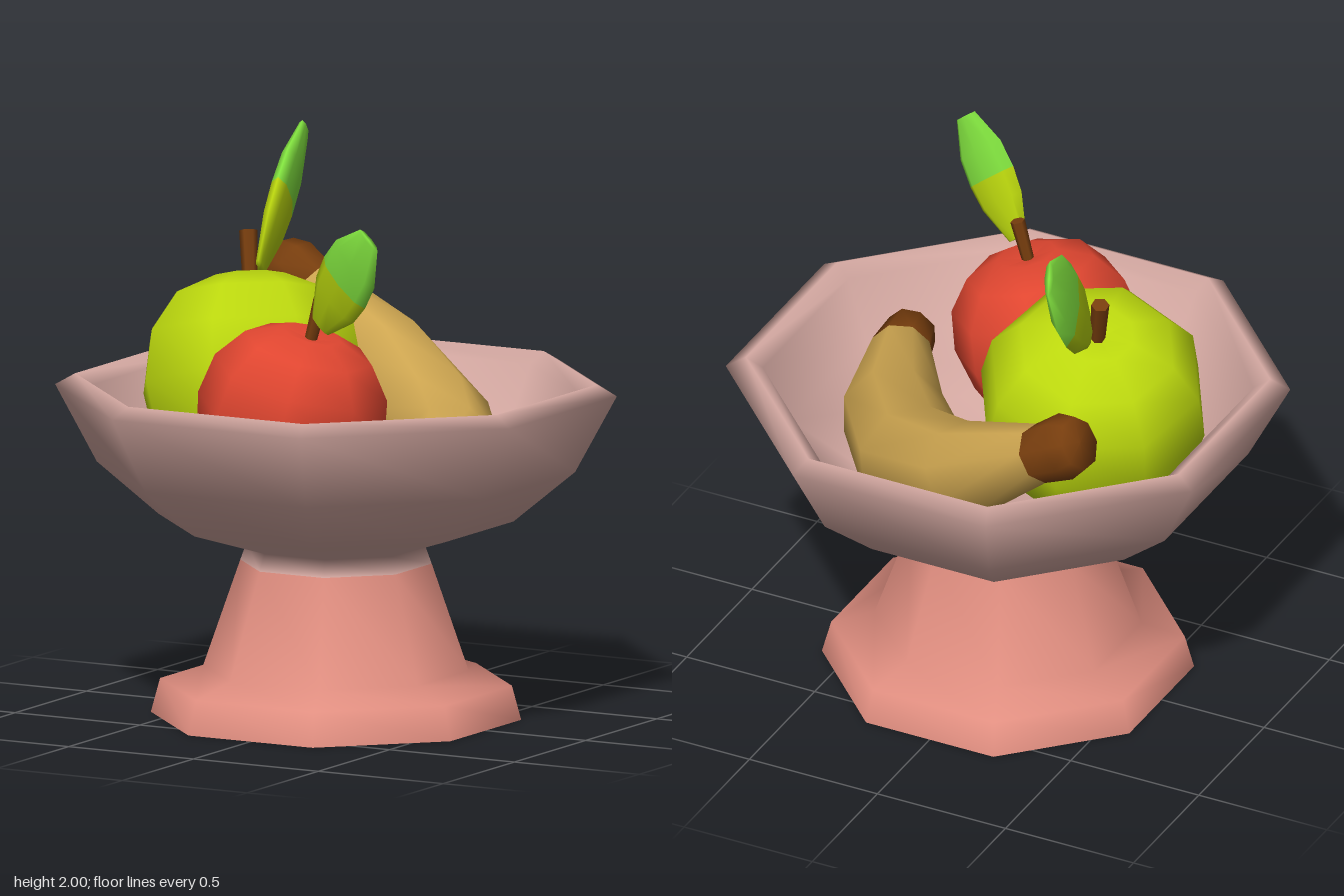
import * as THREE from 'three';

const mat = (name, color, side = THREE.FrontSide) => {
  const m = new THREE.MeshStandardMaterial({ color, side });
  m.name = name;
  return m;
};
const V = (x, y, z) => new THREE.Vector3(x, y, z);

// Eight-sided smooth turned form
function turned(profile, phi = 0) {
  return new THREE.LatheGeometry(profile.map(([r, y]) => new THREE.Vector2(r, y)), 8, phi);
}

// Smooth eight-sided loft through centres [x, y, z, radius]; a zero radius closes an end
function loft(stations, from, to) {
  const sides = 8, pos = [], idx = [];
  const pts = stations.map(s => V(s[0], s[1], s[2]));
  for (let i = from; i <= to; i++) {
    const t = pts[Math.min(i + 1, pts.length - 1)].clone().sub(pts[Math.max(i - 1, 0)]).normalize();
    const n = V(0, 1, 0).addScaledVector(t, -t.y).normalize();
    const b = t.clone().cross(n);
    for (let j = 0; j < sides; j++) {
      const a = (j + 0.5) / sides * Math.PI * 2;
      const p = pts[i].clone()
        .addScaledVector(n, Math.cos(a) * stations[i][3])
        .addScaledVector(b, Math.sin(a) * stations[i][3]);
      pos.push(p.x, p.y, p.z);
    }
  }
  for (let i = 0; i < to - from; i++) {
    for (let j = 0; j < sides; j++) {
      const k = (j + 1) % sides;
      const a = i * sides + j, b = i * sides + k, c = a + sides, d = b + sides;
      idx.push(a, b, c, b, d, c);
    }
  }
  const g = new THREE.BufferGeometry();
  g.setAttribute('position', new THREE.Float32BufferAttribute(pos, 3));
  g.setIndex(idx);
  g.computeVertexNormals();
  return g;
}

export function createModel() {
  const root = new THREE.Group();
  root.name = 'fruitBowl';
  const bowlMat = mat('palePink', 0xd6aaa3);
  const baseMat = mat('coralPink', 0xe08e80);
  const limeMat = mat('limeGreen', 0xbcd80e);
  const redMat = mat('appleRed', 0xe04630);
  const leafMat = mat('leafGreen', 0x80e03e);
  const bananaMat = mat('bananaYellow', 0xcda550, THREE.DoubleSide);
  const brownMat = mat('stemBrown', 0x783e0e, THREE.DoubleSide);

  const add = (parent, name, geo, material) => {
    const m = new THREE.Mesh(geo, material);
    m.name = name;
    parent.add(m);
    return m;
  };

  // Octagonal pedestal and bowl, radii measured to the flat sides
  const flat = 1 / Math.cos(Math.PI / 8);
  const octagon = p => turned(p.map(([r, y]) => [r * flat, y]), Math.PI / 8);
  add(root, 'pedestalUnderside', octagon([[0, 0], [0.6, 0]]), baseMat);
  add(root, 'pedestal', octagon([[0.6, 0], [0.57, 0.12], [0.43, 0.17], [0.31, 0.545]]), baseMat);
  add(root, 'bowl', octagon([
    [0.31, 0.545], [0.29, 0.605], [0.575, 0.7], [0.775, 0.88], [0.91, 1.15], [0.845, 1.19],
    [0.79, 1.15], [0.7, 0.94], [0.5, 0.78], [0, 0.7],
  ]), bowlMat);

  // Leaf: flattened lathe in two colours, aligned from base to tip
  function leaf(parent, base, tip, across, size) {
    const g = new THREE.Group();
    g.name = 'leaf';
    const y = tip.clone().sub(base), len = y.length();
    y.normalize();
    const x = across.clone().addScaledVector(y, -across.dot(y)).normalize();
    const z = x.clone().cross(y);
    g.quaternion.setFromRotationMatrix(new THREE.Matrix4().makeBasis(x, y, z));
    g.position.copy(base);
    g.scale.set(size, len, size * 0.25);
    add(g, 'leafLowerHalf', turned([[0, 0], [0.06, 0], [0.14, 0.3], [0.155, 0.5]]), limeMat);
    add(g, 'leafUpperHalf', turned([[0.155, 0.5], [0.145, 0.72], [0.065, 1], [0, 1]]), leafMat);
    parent.add(g);
  }

  // Apple: tilted body with a stem along its axis
  const body = [[0, -0.35], [0.13, -0.38], [0.26, -0.31], [0.37, -0.17], [0.41, 0.02],
    [0.38, 0.2], [0.28, 0.335], [0.13, 0.4], [0, 0.375]];
  function apple(name, center, axis, size, spin, material) {
    const g = new THREE.Group();
    g.name = name;
    g.position.copy(center);
    g.quaternion.setFromUnitVectors(V(0, 1, 0), axis.normalize());
    g.scale.setScalar(size);
    add(g, 'appleBody', turned(body, spin), material);
    const stem = add(g, 'appleStem', new THREE.CylinderGeometry(0.032, 0.026, 0.2, 6), brownMat);
    stem.position.y = 0.46;
    root.add(g);
  }
  apple('greenApple', V(-0.33, 1.125, 0), V(-0.2, 1, -0.28), 1, 0.157, limeMat);
  apple('redApple', V(0.03, 1.1, 0.375), V(0.28, 1, 0), 0.82, Math.PI / 8, redMat);
  leaf(root, V(-0.385, 1.525, -0.14), V(-0.42, 1.957, -0.51), V(0.1, 0.19, 0.24), 1);
  leaf(root, V(0.165, 1.455, 0.4), V(0.44, 1.8, 0.54), V(0.2, -0.17, 0.04), 0.8);

  // Banana: one curved loft with a brown stalk and tip
  const banana = [
    [-0.64, 1.455, -0.7, 0], [-0.635, 1.45, -0.7, 0.095], [-0.58, 1.42, -0.695, 0.118],
    [-0.48, 1.36, -0.69, 0.105], [-0.15, 1.15, -0.61, 0.175], [0.165, 0.98, -0.4, 0.205],
    [0.405, 0.94, -0.085, 0.185], [0.555, 0.96, 0.27, 0.108], [0.57, 0.975, 0.385, 0.09],
    [0.57, 0.976, 0.39, 0],
  ];
  add(root, 'bananaStalk', loft(banana, 0, 3), brownMat);
  add(root, 'bananaBody', loft(banana, 3, 7), bananaMat);
  add(root, 'bananaTip', loft(banana, 7, 9), brownMat);

  return root;
}
